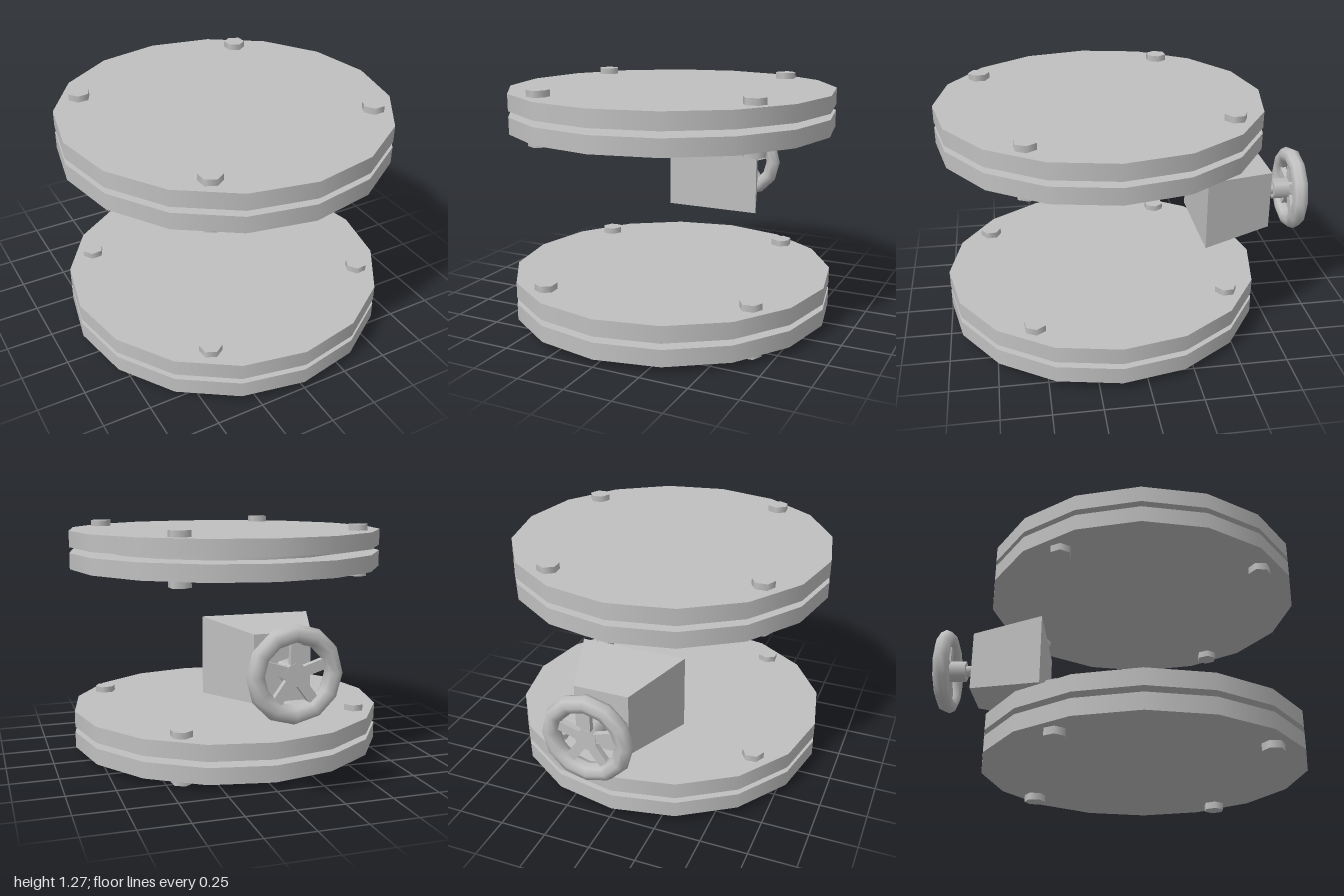
import * as THREE from 'three';

const steel = new THREE.MeshStandardMaterial({ color: 0xc0c0c0 });
steel.name = 'grey steel';

function add(parent, name, geometry, x = 0, y = 0, z = 0) {
  const mesh = new THREE.Mesh(geometry, steel);
  mesh.name = name;
  mesh.position.set(x, y, z);
  parent.add(mesh);
  return mesh;
}

// Two sixteen-sided plates around a gasket, with four bolt heads on each side
function flangePair(name) {
  const group = new THREE.Group();
  group.name = name;
  const plate = new THREE.CylinderGeometry(0.863, 0.863, 0.087, 16);
  add(group, 'lowerPlate', plate, 0, 0.082, 0);
  add(group, 'upperPlate', plate, 0, 0.2, 0);
  add(group, 'gasket', new THREE.CylinderGeometry(0.674, 0.674, 0.04, 16), 0, 0.141, 0);

  const head = new THREE.CylinderGeometry(0.058, 0.058, 0.04, 6);
  for (let i = 0; i < 4; i++) {
    const turn = (i * Math.PI) / 2;
    const p = new THREE.Vector3(0.415, 0, -0.625).applyAxisAngle(new THREE.Vector3(0, 1, 0), turn);
    for (const y of [0.02, 0.257]) {
      add(group, 'boltHead', head, p.x, y, p.z).rotation.y = turn + 0.07;
    }
  }
  return group;
}

// Housing block that narrows towards the back
function housingGeometry() {
  const geometry = new THREE.BoxGeometry(0.56, 0.392, 0.392);
  const pos = geometry.attributes.position;
  for (let i = 0; i < pos.count; i++) {
    if (pos.getZ(i) < 0) {
      pos.setX(i, Math.sign(pos.getX(i)) * 0.142);
      pos.setY(i, Math.sign(pos.getY(i)) * 0.165);
    }
  }
  geometry.computeVertexNormals();
  return geometry;
}

// Handwheel with its stem, nut, rim and five spokes
function handwheel() {
  const group = new THREE.Group();
  group.name = 'handwheel';
  const stem = new THREE.CylinderGeometry(0.034, 0.034, 0.17, 6).rotateX(Math.PI / 2);
  add(group, 'stem', stem, 0, 0, -0.87);
  const nut = new THREE.CylinderGeometry(0.058, 0.058, 0.09, 6)
    .rotateY(Math.PI / 12).rotateX(Math.PI / 2);
  add(group, 'nut', nut, 0, 0, -0.895);
  add(group, 'rim', new THREE.TorusGeometry(0.19, 0.045, 8, 12), 0, 0, -0.955);
  const hub = new THREE.CylinderGeometry(0.055, 0.055, 0.034, 10).rotateX(Math.PI / 2);
  add(group, 'hub', hub, 0, 0, -0.955);
  const spoke = new THREE.BoxGeometry(0.05, 0.18, 0.03).translate(0, 0.09, 0);
  for (let i = 0; i < 5; i++) {
    add(group, 'spoke', spoke, 0, 0, -0.955).rotation.z = (i * Math.PI * 2) / 5;
  }
  return group;
}

export function createModel() {
  const model = new THREE.Group();
  model.name = 'valveFittings';

  const lower = flangePair('lowerFlanges');
  lower.position.z = 0.135;
  const upper = flangePair('upperFlanges');
  upper.position.set(0, 0.991, 0.135);
  model.add(lower, upper);

  add(model, 'housing', housingGeometry(), 0, 0.634, -0.601);
  const wheel = handwheel();
  wheel.position.y = 0.634;
  model.add(wheel);
  return model;
}
